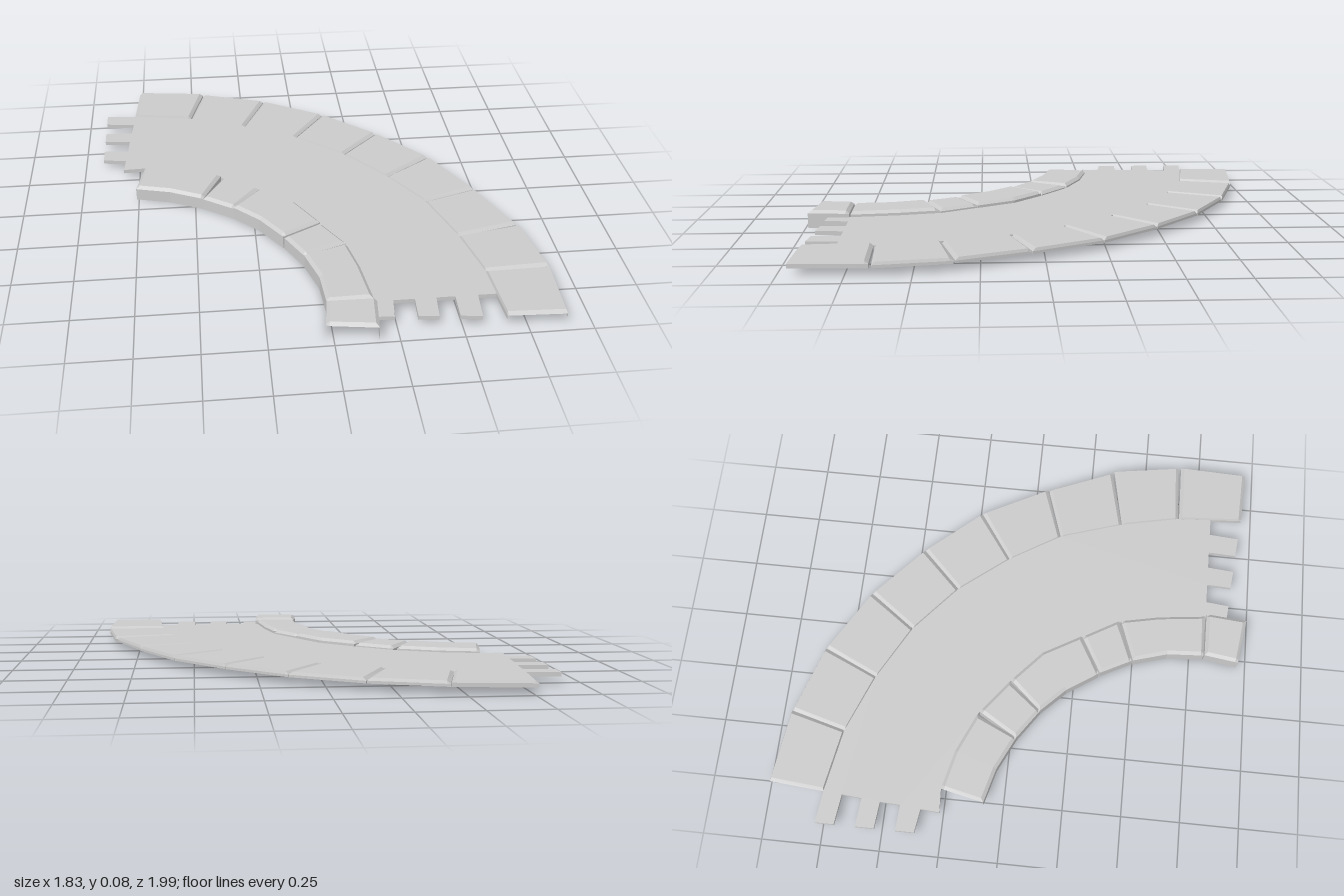
import * as THREE from 'three';

const material = new THREE.MeshStandardMaterial({ color: 0xcccccc, flatShading: true, side: THREE.DoubleSide });

// Hollow bevelled stone. Stations are [innerX, innerZ, outerX, outerZ] along the bend.
function stone(name, stations, { base, top, bevel, endBevel, drop, openStart, openEnd }) {
  const blend = (p, q, d) => {
    const len = Math.hypot((q[0] + q[2] - p[0] - p[2]) / 2, (q[1] + q[3] - p[1] - p[3]) / 2);
    return p.map((v, i) => v + (q[i] - v) * d / len);
  };
  const section = ([ix, iz, ox, oz], y) => {
    const f = bevel / Math.hypot(ox - ix, oz - iz);
    const at = (t, h) => [ix + (ox - ix) * t, h, iz + (oz - iz) * t];
    const rim = top - drop;
    return [at(0, base), at(0, rim), at(f, y), at(1 - f, y), at(1, rim), at(1, base)];
  };
  const n = stations.length;
  const first = stations[0], last = stations[n - 1];
  const rings = [
    section(first, top - drop),
    section(blend(first, stations[1], endBevel), top),
    ...stations.slice(1, -1).map(s => section(s, top)),
    section(blend(last, stations[n - 2], endBevel), top),
    section(last, top - drop),
  ];
  const positions = [];
  const quad = (a, b, c, d) => positions.push(...a, ...b, ...c, ...a, ...c, ...d);
  for (let i = 0; i < rings.length - 1; i++) {
    for (let j = 0; j < 5; j++) quad(rings[i][j], rings[i + 1][j], rings[i + 1][j + 1], rings[i][j + 1]);
  }
  const s = rings[0], e = rings[rings.length - 1];
  if (!openStart) quad(s[0], s[1], s[4], s[5]);
  if (!openEnd) quad(e[5], e[4], e[1], e[0]);
  const geometry = new THREE.BufferGeometry();
  geometry.setAttribute('position', new THREE.Float32BufferAttribute(positions, 3));
  geometry.computeVertexNormals();
  const mesh = new THREE.Mesh(geometry, material);
  mesh.name = name;
  return mesh;
}

// Stones of the inner kerb
const innerStones = [
  { top: 0.066, s: [[-0.76, -0.085, -0.72, -0.27], [-0.61, -0.045, -0.55, -0.23], [-0.465, 0.025, -0.38, -0.155]] },
  { top: 0.064, s: [[-0.465, 0.025, -0.365, -0.145], [-0.335, 0.115, -0.215, -0.03]] },
  { top: 0.07, s: [[-0.335, 0.115, -0.21, -0.025], [-0.23, 0.22, -0.07, 0.1], [-0.14, 0.355, 0.025, 0.265]] },
  { top: 0.066, s: [[-0.135, 0.36, 0.025, 0.27], [-0.065, 0.495, 0.115, 0.425]] },
  { top: 0.07, s: [[-0.065, 0.5, 0.115, 0.435], [-0.02, 0.65, 0.15, 0.6], [-0.01, 0.808, 0.175, 0.808]] },
  { top: 0.076, s: [[-0.01, 0.812, 0.185, 0.812], [-0.03, 0.96, 0.17, 0.99]] },
];

// Stones of the outer kerb
const outerStones = [
  { top: 0.058, s: [[-0.78, -0.765, -0.76, -1.0], [-0.507, -0.718, -0.442, -0.957]] },
  { top: 0.053, s: [[-0.505, -0.715, -0.44, -0.955], [-0.25, -0.617, -0.142, -0.857]] },
  { top: 0.052, s: [[-0.25, -0.615, -0.14, -0.855], [-0.012, -0.487, 0.138, -0.692]] },
  { top: 0.052, s: [[-0.01, -0.485, 0.14, -0.69], [0.198, -0.308, 0.373, -0.482]] },
  { top: 0.052, s: [[0.2, -0.305, 0.375, -0.48], [0.37, -0.092, 0.583, -0.242]] },
  { top: 0.052, s: [[0.37, -0.09, 0.585, -0.24], [0.504, 0.127, 0.737, 0.05]] },
  { top: 0.052, s: [[0.505, 0.13, 0.735, 0.055], [0.594, 0.403, 0.855, 0.343]] },
  { top: 0.054, s: [[0.595, 0.405, 0.865, 0.35], [0.65, 0.66, 0.912, 0.65]] },
  { top: 0.06, s: [[0.65, 0.665, 0.912, 0.66], [0.668, 0.95, 0.9, 0.96]] },
];

function slab(name, points, bottom, top) {
  const shape = new THREE.Shape(points.map(([x, z]) => new THREE.Vector2(x, -z)));
  const geometry = new THREE.ExtrudeGeometry(shape, { depth: top - bottom, bevelEnabled: false });
  geometry.rotateX(-Math.PI / 2).translate(0, bottom, 0);
  const mesh = new THREE.Mesh(geometry, material);
  mesh.name = name;
  return mesh;
}

export function createModel() {
  const model = new THREE.Group();
  model.name = 'curvedRoad';

  // Road bed between the two kerbs, with locking tabs at both ends
  const outerEdge = outerStones.flatMap(({ s }, i) => (i < 8 ? [[s[1][0], s[1][1]]] : []));
  const innerEdge = innerStones.slice(0, 5).flatMap(({ s }) => s.map(p => [p[2], p[3]])).reverse();
  model.add(slab('roadBed', [
    [-0.78, -0.765], ...outerEdge, [0.66, 0.81],
    // front tabs
    [0.585, 0.81], [0.575, 0.94], [0.49, 0.93], [0.495, 0.81],
    [0.42, 0.81], [0.41, 0.925], [0.33, 0.915], [0.335, 0.81],
    [0.25, 0.81], [0.24, 0.91], [0.18, 0.905],
    ...innerEdge, [-0.82, -0.265],
    // left-hand tabs
    [-0.813, -0.345], [-0.915, -0.36], [-0.915, -0.44], [-0.805, -0.433],
    [-0.8, -0.52], [-0.915, -0.53], [-0.915, -0.61], [-0.793, -0.6],
    [-0.785, -0.685], [-0.915, -0.7], [-0.915, -0.78],
  ], 0.03, 0.047));

  // Kerbs, open underneath and at their far ends
  const addKerb = (name, list, options) => {
    const kerb = new THREE.Group();
    kerb.name = name;
    list.forEach(({ s, top }, i) => kerb.add(stone(`${name}Stone${i + 1}`, s, {
      ...options, top, openStart: i === 0, openEnd: i === list.length - 1,
    })));
    model.add(kerb);
  };
  addKerb('innerKerb', innerStones, { base: 0, bevel: 0.014, endBevel: 0.014, drop: 0.012 });
  addKerb('outerKerb', outerStones, { base: 0.03, bevel: 0.004, endBevel: 0.014, drop: 0.012 });
  return model;
}
